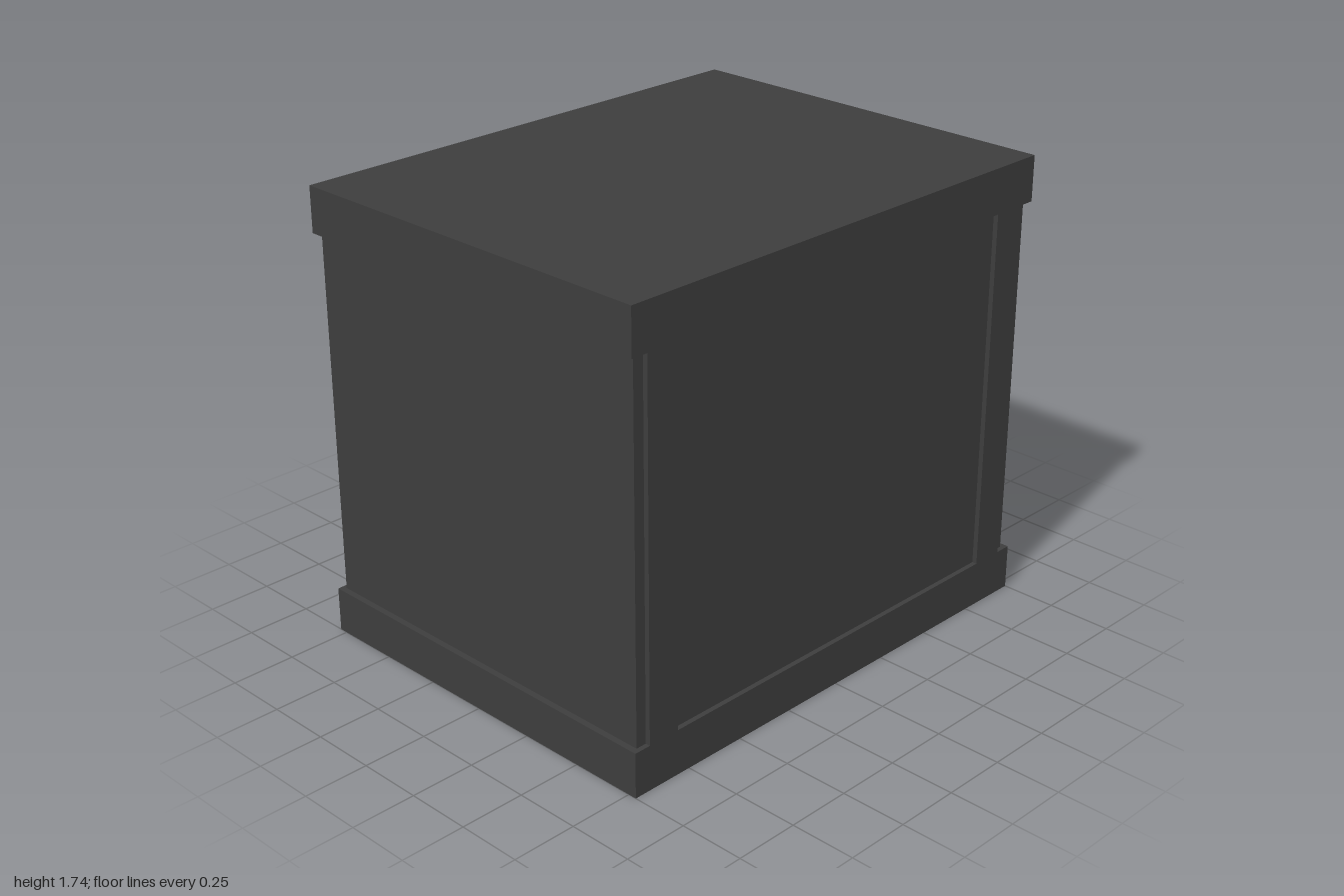
import * as THREE from 'three';

export function createModel() {
  const model = new THREE.Group();
  const charcoal = new THREE.MeshStandardMaterial({ color: 0x3d3d3d });
  charcoal.name = 'charcoal';

  const WIDTH = 2, HEIGHT = 1.74, DEPTH = 1.566;
  const SLAB = 0.173, RECESS = 0.019;
  const midHeight = HEIGHT - 2 * SLAB;

  function box(name, w, h, d, x, y, z) {
    const mesh = new THREE.Mesh(new THREE.BoxGeometry(w, h, d), charcoal);
    mesh.name = name;
    mesh.position.set(x, y, z);
    model.add(mesh);
  }

  // Full-size slabs at the bottom and top
  box('baseSlab', WIDTH, SLAB, DEPTH, 0, SLAB / 2, 0);
  box('topSlab', WIDTH, SLAB, DEPTH, 0, HEIGHT - SLAB / 2, 0);

  // Recessed body between the slabs
  box('body', 1.952, midHeight, DEPTH - 2 * RECESS, 0, HEIGHT / 2, 0);

  // Upright stiles flush with the slabs, framing the front and back panels
  for (const [face, sz] of [['front', 1], ['back', -1]]) {
    for (const [side, sx] of [['Left', 1], ['Right', -1]]) {
      box(face + side + 'Stile', 0.13, midHeight, RECESS,
        sx * 0.869, HEIGHT / 2, sz * (DEPTH - RECESS) / 2);
    }
  }
  return model;
}
